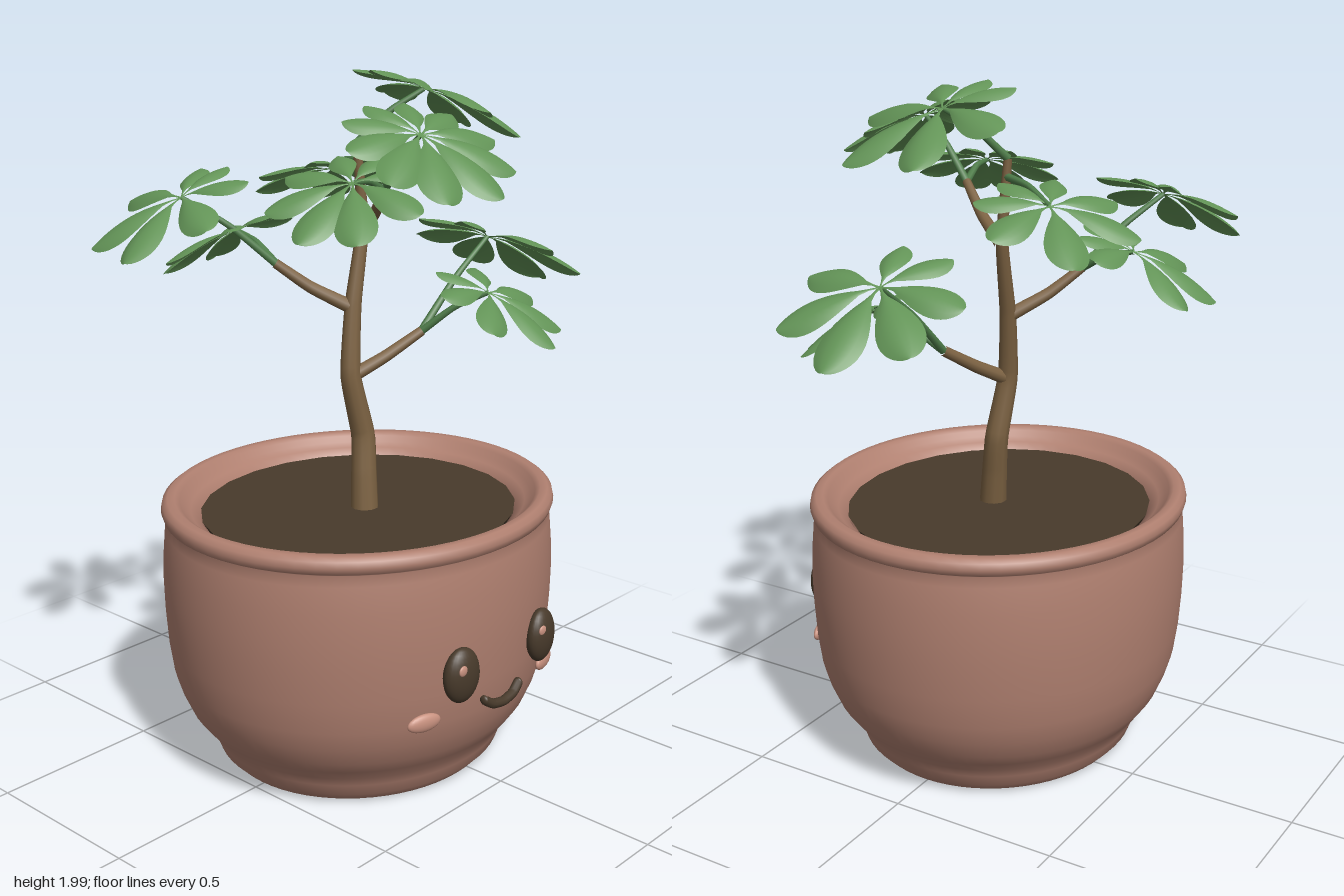
import * as THREE from 'three';

const paint = (name, color, side = THREE.FrontSide) => {
  const m = new THREE.MeshStandardMaterial({ color, side });
  m.name = name;
  return m;
};
const V = (p) => new THREE.Vector3(...p);

// Tube through points whose radius shrinks from r0 to r1
function taperedTube(points, r0, r1, segs = 16, sides = 10) {
  const curve = new THREE.CatmullRomCurve3(points.map(V), false, 'catmullrom', 0.25);
  const geo = new THREE.TubeGeometry(curve, segs, 1, sides);
  const pos = geo.attributes.position, p = new THREE.Vector3();
  for (let i = 0; i <= segs; i++) {
    const c = curve.getPointAt(i / segs), r = r0 + (r1 - r0) * i / segs;
    for (let j = 0; j <= sides; j++) {
      const k = i * (sides + 1) + j;
      p.fromBufferAttribute(pos, k).sub(c).multiplyScalar(r).add(c);
      pos.setXYZ(k, p.x, p.y, p.z);
    }
  }
  return geo;
}

// Unit-length leaflet along +z: thin stalk, then an arched, drooping blade with a rounded tip
function leafletGeometry() {
  const geo = new THREE.PlaneGeometry(1, 1, 6, 16);
  const pos = geo.attributes.position;
  for (let i = 0; i < pos.count; i++) {
    const v = pos.getX(i) * 2, u = Math.sin((0.5 - pos.getY(i)) * Math.PI / 2);
    const s = Math.max(0, (u - 0.14) / 0.86);
    const blade = Math.pow(Math.max(0, Math.sin(Math.PI * Math.pow(s, 1.55))), 0.58);
    const half = Math.max(0.215 * blade, u < 0.5 ? 0.014 : 0);
    const y = 0.05 * Math.sin(Math.PI * u) - 0.08 * u * u - 0.36 * half * v * v;
    pos.setXYZ(i, v * half, y, u);
  }
  geo.computeVertexNormals();
  return geo;
}

export function createModel() {
  const model = new THREE.Group();
  model.name = 'pottedPlant';
  const clay = paint('clay', 0xb08070);
  const dark = paint('darkSoil', 0x483a2b);
  const blush = paint('blush', 0xc8917f);
  const bark = paint('bark', 0x7c6242);
  const stem = paint('greenStem', 0x4f7d4a);
  const leaf = paint('leafGreen', 0x639457, THREE.DoubleSide);

  const add = (parent, name, geo, mat, pos = [0, 0, 0], scale = [1, 1, 1]) => {
    const m = new THREE.Mesh(geo, mat);
    m.name = name;
    m.position.set(...pos);
    m.scale.set(...scale);
    parent.add(m);
    return m;
  };

  // Oval pot, with a drain hole under a hollowed base
  const pot = new THREE.Group();
  pot.name = 'pot';
  pot.position.x = -0.06;
  pot.scale.z = 0.92;
  model.add(pot);
  const outline = [
    [0.12, 0.14], [0.12, 0.085], [0.14, 0.065], [0.2, 0.055], [0.28, 0.035], [0.34, 0.01], [0.38, 0.002],
    [0.415, 0.008], [0.442, 0.035], [0.455, 0.07], [0.47, 0.1], [0.5, 0.135], [0.53, 0.175], [0.555, 0.23],
    [0.574, 0.29], [0.587, 0.38], [0.594, 0.48], [0.596, 0.56], [0.593, 0.64], [0.586, 0.72], [0.577, 0.75],
    [0.59, 0.757], [0.596, 0.775], [0.592, 0.793], [0.577, 0.804], [0.555, 0.804], [0.54, 0.795],
    [0.528, 0.778], [0.508, 0.765], [0.482, 0.748], [0.467, 0.71], [0.44, 0.25], [0.36, 0.14], [0.12, 0.14],
  ].map(([r, y]) => new THREE.Vector2(r, y));
  add(pot, 'potShell', new THREE.LatheGeometry(outline, 64), clay);
  add(pot, 'soil', new THREE.CylinderGeometry(0.48, 0.455, 0.04, 24), dark, [0, 0.729, 0]);

  // Face
  const face = new THREE.Group();
  face.name = 'face';
  face.position.x = -0.06;
  model.add(face);
  const ball = new THREE.SphereGeometry(1, 24, 16);
  for (const s of [-1, 1]) {
    const eye = add(face, s < 0 ? 'rightEye' : 'leftEye', ball, dark, [s * 0.177, 0.437, 0.538], [0.06, 0.08, 0.034]);
    eye.rotation.y = s * 0.15;
    add(face, 'eyeGlint', ball, blush, [s * 0.177 - 0.025, 0.465, 0.565], [0.016, 0.015, 0.006]);
    const cheek = add(face, s < 0 ? 'rightCheek' : 'leftCheek', ball, blush, [s * 0.268, 0.31, 0.485], [0.053, 0.026, 0.014]);
    cheek.rotation.y = s * 0.28;
  }
  const smile = [[-0.076, 0.325, 0.54], [-0.045, 0.305, 0.545], [0, 0.297, 0.547], [0.045, 0.305, 0.545], [0.076, 0.325, 0.54]];
  add(face, 'smile', taperedTube(smile, 0.014, 0.014), dark);
  for (const end of [smile[0], smile[4]]) add(face, 'smileEnd', ball, dark, end, [0.009, 0.014, 0.014]);

  // Trunk and its three branches
  const wood = new THREE.Group();
  wood.name = 'wood';
  model.add(wood);
  const trunkTop = [0, 1.79, -0.06];
  const leftFork = [-0.2, 1.46, -0.19], frontFork = [-0.12, 1.69, 0.15], rightFork = [0.12, 1.25, 0.08];
  add(wood, 'trunk', taperedTube([[-0.068, 0.7, 0.03], [-0.055, 0.84, 0.015], [-0.043, 0.96, 0.0], [-0.075, 1.14, -0.018],
    [-0.045, 1.34, -0.035], [0.008, 1.56, -0.047], trunkTop], 0.042, 0.012, 40), bark);
  add(wood, 'rightBranch', taperedTube([[-0.07, 1.135, -0.018], [0.02, 1.185, 0.03], rightFork], 0.021, 0.015), bark);
  add(wood, 'backBranch', taperedTube([[-0.048, 1.33, -0.035], [-0.13, 1.39, -0.12], leftFork], 0.021, 0.014), bark);
  add(wood, 'frontBranch', taperedTube([[0.008, 1.55, -0.045], [-0.06, 1.61, 0.06], frontFork], 0.02, 0.013), bark);

  // Leaf clusters: start of stem, centre, facing, leaflet length, leaflet headings in degrees (from +x toward +z)
  const clusters = [
    [leftFork, [-0.41, 1.655, -0.34], [-0.5, 1, -0.1], 0.235, [170, 219, 272, 327, 3, 62, 118]],
    [leftFork, [-0.18, 1.53, -0.365], [-0.1, 1, -0.5], 0.22, [244, 295, 3, 38, 88, 143, 195]],
    [[0.003, 1.74, -0.058], [0.09, 1.69, -0.245], [0.2, 1, -0.33], 0.225, [251, 315, 8, 52, 95, 156, 208]],
    [trunkTop, [0.15, 1.935, 0.055], [0.4, 1, 0.13], 0.255, [233, 295, 344, 38, 95, 145, 190]],
    [rightFork, [0.4, 1.49, 0.095], [0.5, 1, -0.02], 0.26, [271, 311, 358, 50, 93, 165, 220]],
    [rightFork, [0.225, 1.37, 0.24], [0.15, 1, 0.5], 0.205, [0, 40, 80, 135, 180, 230, 310]],
    [frontFork, [-0.27, 1.73, 0.175], [-0.42, 1, 0.18], 0.215, [172, 216, 256, 302, 352, 40, 90, 135]],
    [frontFork, [-0.187, 1.86, 0.335], [-0.1, 1, 0.5], 0.23, [187, 155, 122, 83, 48, 17, 345, 305, 258, 220]],
  ];
  const leaflet = leafletGeometry();
  for (const [from, to, facing, size, headings] of clusters) {
    const cluster = new THREE.Group();
    cluster.name = 'leafCluster';
    model.add(cluster);
    const mid = from.map((a, i) => (a + to[i]) / 2 + (i === 1 ? 0.015 : 0));
    add(cluster, 'leafStem', taperedTube([from, mid, to], 0.012, 0.007, 10, 8), stem);
    const up = V(facing).normalize();
    const out = new THREE.Vector3(up.x, 0, up.z).normalize();
    for (const deg of headings) {
      const a = THREE.MathUtils.degToRad(deg);
      const along = new THREE.Vector3(Math.cos(a), 0, Math.sin(a));
      const length = size * (1 + 0.24 * along.dot(out));
      along.y = -(up.x * along.x + up.z * along.z) / up.y;
      along.normalize();
      const side = new THREE.Vector3().crossVectors(up, along);
      const m = add(cluster, 'leaflet', leaflet, leaf, to, [length, length, length]);
      m.quaternion.setFromRotationMatrix(new THREE.Matrix4().makeBasis(side, up, along));
    }
  }
  return model;
}
